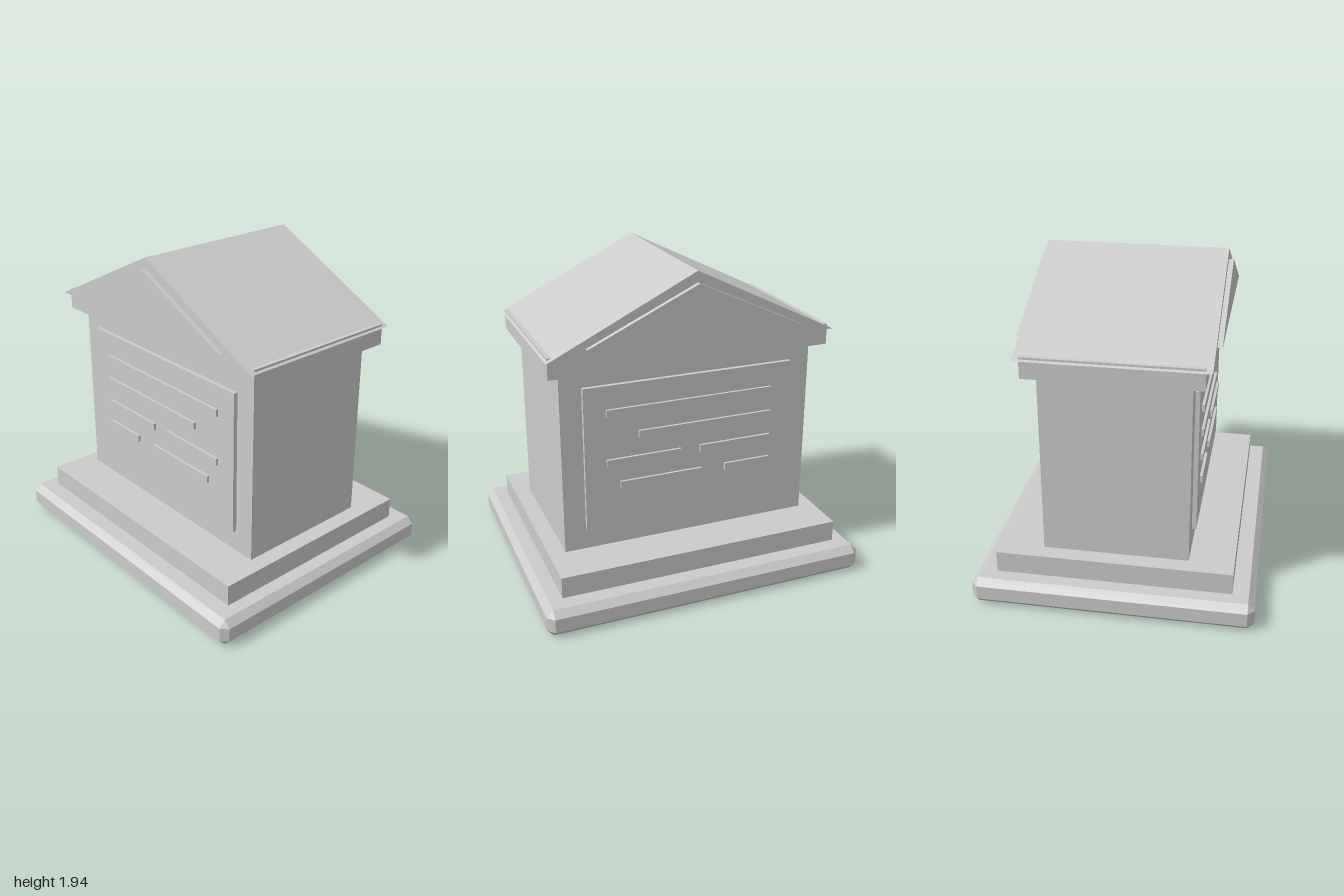
import * as THREE from 'three';
import { ConvexGeometry } from 'three/addons/geometries/ConvexGeometry.js';

const stone = new THREE.MeshStandardMaterial({ color: 0xcccccc, flatShading: true });

export function createModel() {
  const model = new THREE.Group();
  model.name = 'monument';

  const add = (name, geometry) => {
    const mesh = new THREE.Mesh(geometry, stone);
    mesh.name = name;
    model.add(mesh);
    return mesh;
  };

  // Box given by its extents
  const block = (name, x0, x1, y0, y1, z0, z1) =>
    add(name, new THREE.BoxGeometry(x1 - x0, y1 - y0, z1 - z0))
      .position.set((x0 + x1) / 2, (y0 + y1) / 2, (z0 + z1) / 2);

  // Box centred on the vertical axis
  const tier = (name, halfX, y0, y1, halfZ) => block(name, -halfX, halfX, y0, y1, -halfZ, halfZ);

  // Triangular prism running along z
  const gable = (name, halfX, y0, y1, z0, z1) => {
    const shape = new THREE.Shape([
      new THREE.Vector2(-halfX, y0), new THREE.Vector2(halfX, y0), new THREE.Vector2(0, y1),
    ]);
    add(name, new THREE.ExtrudeGeometry(shape, { depth: z1 - z0, bevelEnabled: false })).position.z = z0;
  };

  // Base slab with every edge chamfered
  const half = [1, 0.0825, 0.83], chamfer = 0.04;
  const corners = [];
  for (const sx of [-1, 1]) for (const sy of [-1, 1]) for (const sz of [-1, 1]) {
    for (let full = 0; full < 3; full++) {
      const [x, y, z] = half.map((h, axis) => (axis === full ? h : h - chamfer));
      corners.push(new THREE.Vector3(sx * x, sy * y, sz * z));
    }
  }
  add('baseSlab', new ConvexGeometry(corners)).position.y = half[1];

  // Stacked masonry and roof
  tier('plinth', 0.88, 0.165, 0.295, 0.695);
  tier('body', 0.78, 0.295, 1.41, 0.43);
  tier('cornice', 0.855, 1.41, 1.535, 0.502);
  gable('roof', 0.87, 1.515, 1.942, -0.538, 0.538);

  // Raised bars standing in for inscription lines: [x start, x end, y bottom]
  const bars = [
    [-0.52, 0.52, 1.131],
    [-0.52, 0.325, 0.976],
    [-0.52, -0.06, 0.821], [0.06, 0.52, 0.821],
    [-0.52, -0.225, 0.672], [-0.075, 0.44, 0.672],
  ];

  // Panel, bars and pediment repeat on both faces
  for (const [side, s] of [['front', 1], ['back', -1]]) {
    const span = (a, b) => (s > 0 ? [a, b] : [-b, -a]);
    block(side + 'Panel', -0.65, 0.65, 0.43, 1.315, ...span(0.42, 0.456));
    gable(side + 'Pediment', 0.65, 1.575, 1.877, ...span(0.52, 0.567));
    bars.forEach(([x0, x1, y], i) =>
      block(`${side}Bar${i + 1}`, x0, x1, y, y + 0.043, ...span(0.44, 0.472)));
  }

  return model;
}
